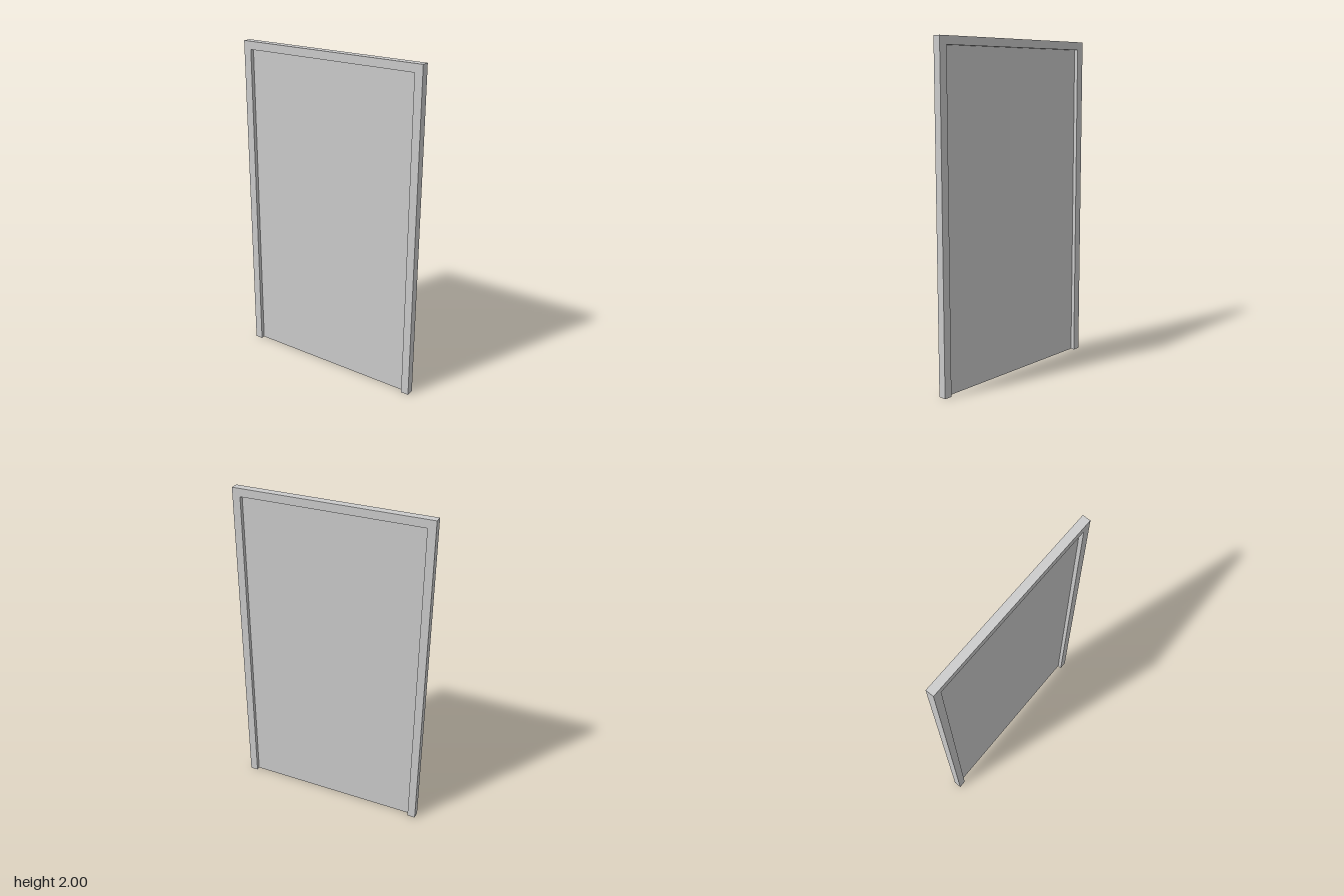
import * as THREE from 'three';

const HALF_WIDTH = 0.593; // outer half width of the frame
const HEIGHT = 2;
const DEPTH = 0.048;
const FACE = 0.048; // visible width of jambs and head

export function createModel() {
  const group = new THREE.Group();
  group.name = 'framedPanel';
  const material = new THREE.MeshStandardMaterial({ color: 0xcccccc });
  const inner = HALF_WIDTH - FACE;
  const opening = HEIGHT - FACE;

  // Frame: two jambs and a head as one U-shaped outline, open at the floor
  const outline = new THREE.Shape([
    [-HALF_WIDTH, 0], [-inner, 0], [-inner, opening], [inner, opening],
    [inner, 0], [HALF_WIDTH, 0], [HALF_WIDTH, HEIGHT], [-HALF_WIDTH, HEIGHT],
  ].map(([x, y]) => new THREE.Vector2(x, y)));
  const frameGeometry = new THREE.ExtrudeGeometry(outline, { depth: DEPTH, bevelEnabled: false });
  frameGeometry.translate(0, 0, -DEPTH / 2);
  const frame = new THREE.Mesh(frameGeometry, material);
  frame.name = 'frame';
  group.add(frame);

  // Thin panel set in the middle of the frame depth, seen from both sides
  const panelMaterial = material.clone();
  panelMaterial.side = THREE.DoubleSide;
  const panel = new THREE.Mesh(new THREE.PlaneGeometry(inner * 2, opening), panelMaterial);
  panel.name = 'panel';
  panel.position.y = opening / 2;
  group.add(panel);

  return group;
}
